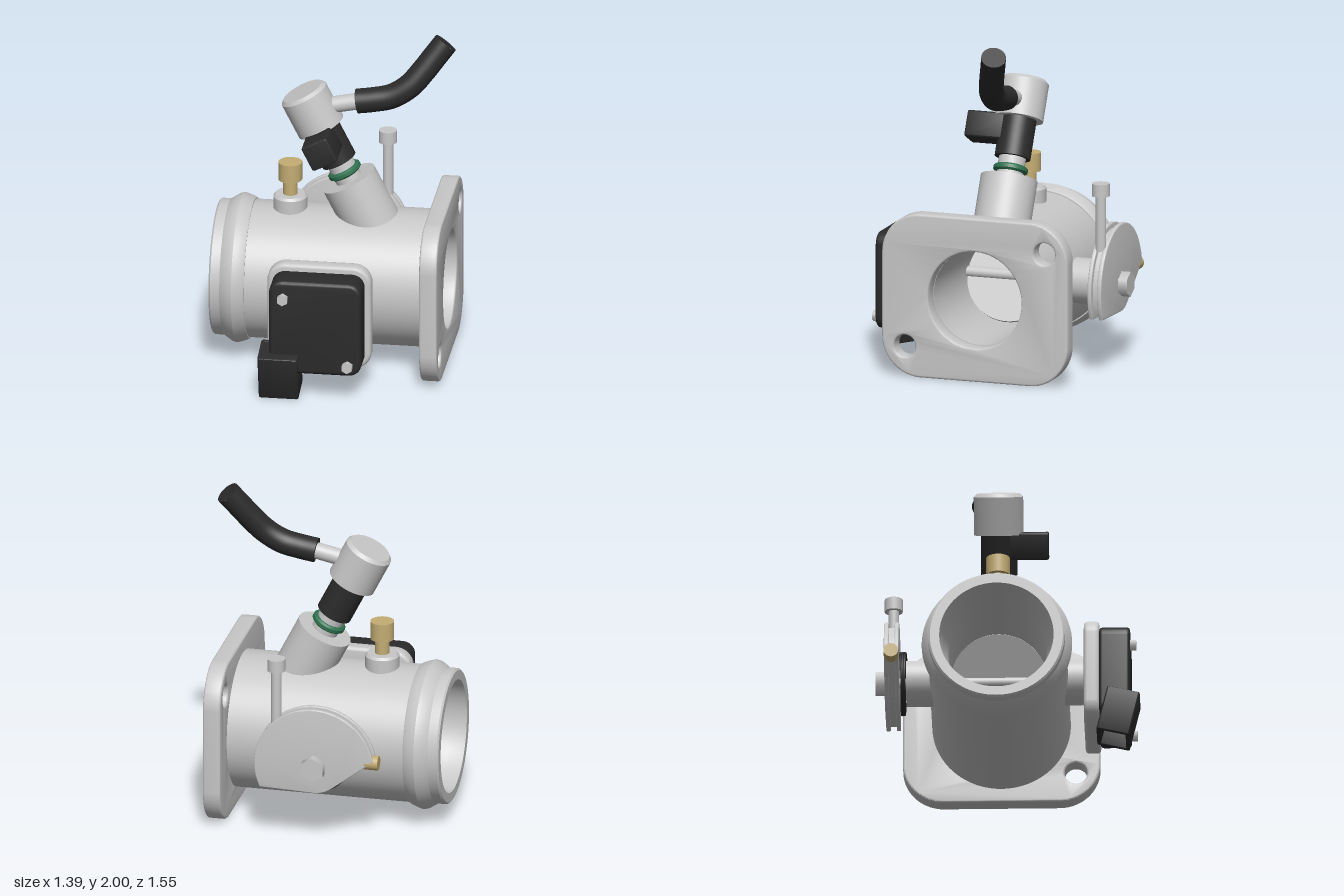
import * as THREE from 'three';
import { toCreasedNormals } from 'three/addons/utils/BufferGeometryUtils.js';

const V2 = (x, y) => new THREE.Vector2(x, y);
const V3 = (x, y, z) => new THREE.Vector3(x, y, z);
const paint = (name, color) => {
  const m = new THREE.MeshStandardMaterial({ color });
  m.name = name;
  return m;
};

const AX_Y = 0.5, AX_Z = -0.052;      // main bore axis
const SHAFT_X = -0.015, SHAFT_Y = 0.505;

function roundedRect(w, h, r) {
  const s = new THREE.Shape(), x = w / 2, y = h / 2;
  s.absarc(x - r, y - r, r, 0, Math.PI / 2);
  s.absarc(-x + r, y - r, r, Math.PI / 2, Math.PI);
  s.absarc(-x + r, -y + r, r, Math.PI, Math.PI * 1.5);
  s.absarc(x - r, -y + r, r, Math.PI * 1.5, Math.PI * 2);
  s.closePath();
  return s;
}

function circleHole(x, y, r) {
  return new THREE.Path().absarc(x, y, r, 0, Math.PI * 2, true);
}

// Extrusion from z = 0 to z = depth with softened edges
function slab(shape, depth, bevel) {
  const g = new THREE.ExtrudeGeometry(shape, {
    depth: depth - 2 * bevel, bevelEnabled: bevel > 0, bevelThickness: bevel,
    bevelSize: bevel, bevelOffset: -bevel, bevelSegments: 3, curveSegments: 24,
  });
  g.translate(0, 0, bevel);
  return toCreasedNormals(g, 0.6);
}

function lathe(points, segments = 64) {
  return toCreasedNormals(new THREE.LatheGeometry(points.map(p => V2(p[0], p[1])), segments), 0.5);
}

export function createModel() {
  const root = new THREE.Group();
  root.name = 'throttleBody';
  const metal = paint('light metal', 0xc8c8c8);
  const black = paint('black plastic', 0x2b2b2b);
  const brass = paint('brass', 0xc4ad74);
  const green = paint('green seal', 0x2f7350);

  const add = (name, geo, mat, pos = [0, 0, 0], rot = [0, 0, 0], parent = root) => {
    const m = new THREE.Mesh(geo, mat);
    m.name = name;
    m.position.set(...pos);
    m.rotation.set(...rot);
    parent.add(m);
    return m;
  };
  // Cylinder along y or z between two coordinates
  const upright = (name, r, y0, y1, x, z, mat, seg = 32, parent = root) =>
    add(name, new THREE.CylinderGeometry(r, r, y1 - y0, seg), mat, [x, (y0 + y1) / 2, z], [0, 0, 0], parent);
  const alongZ = (name, r, z0, z1, x, y, mat, seg = 40) =>
    add(name, new THREE.CylinderGeometry(r, r, z1 - z0, seg), mat, [x, y, (z0 + z1) / 2], [Math.PI / 2, 0, 0]);

  // Hollow main barrel with hose bead on the intake end
  add('barrel', lathe([
    [0.335, -0.7], [0.39, -0.7], [0.4, -0.69], [0.4, -0.635], [0.408, -0.625], [0.434, -0.585],
    [0.441, -0.56], [0.434, -0.535], [0.42, -0.497], [0.413, -0.488], [0.406, -0.488],
    [0.406, 0.57], [0.29, 0.57], [0.29, -0.45], [0.335, -0.6], [0.335, -0.7],
  ], 80), metal, [0, AX_Y, AX_Z], [0, 0, -Math.PI / 2]);

  // Mounting flange with bore and two bolt holes
  const flange = roundedRect(1.155, 0.98, 0.24);
  flange.holes.push(circleHole(0, 0, 0.29), circleHole(0.433, 0.31, 0.066), circleHole(-0.435, -0.306, 0.066));
  add('flange', slab(flange, 0.105, 0.012), metal, [0.57, AX_Y, AX_Z], [0, Math.PI / 2, 0]);

  // Throttle plate and shaft
  add('throttlePlate', new THREE.CylinderGeometry(0.286, 0.286, 0.02, 64), metal,
    [SHAFT_X, SHAFT_Y, AX_Z], [0, 0, Math.PI / 2 + 0.5]);
  alongZ('throttleShaft', 0.033, -0.7, 0.46, SHAFT_X, SHAFT_Y, metal, 24);
  alongZ('frontShaftBoss', 0.135, 0.29, 0.46, SHAFT_X, SHAFT_Y, metal);
  alongZ('rearShaftBoss', 0.135, -0.595, -0.39, SHAFT_X, SHAFT_Y, metal);

  // Position sensor on the front
  add('sensorMount', slab(roundedRect(0.615, 0.645, 0.11), 0.09, 0.02), metal, [-0.018, 0.468, 0.45]);
  add('sensorCover', slab(roundedRect(0.545, 0.58, 0.075), 0.182, 0.02), black, [-0.018, 0.465, 0.538]);
  for (const [x, y] of [[-0.207, 0.65], [0.175, 0.24]]) {
    alongZ('sensorScrew', 0.034, 0.71, 0.755, x, y, metal, 6);
  }

  // Tilted plug socket, open at its lower end
  const socket = new THREE.Group();
  socket.name = 'sensorSocket';
  socket.position.set(-0.233, 0.168, 0.652);
  socket.rotation.x = 0.23;
  root.add(socket);
  const frame = roundedRect(0.235, 0.197, 0.015);
  frame.holes.push(new THREE.Path([V2(-0.095, -0.076), V2(-0.095, 0.076), V2(0.095, 0.076), V2(0.095, -0.076)]));
  add('socketShell', slab(frame, 0.28, 0.005), black, [0, 0.14, 0], [Math.PI / 2, 0, 0], socket);
  add('socketCore', new THREE.BoxGeometry(0.2, 0.13, 0.16), black, [0, 0.073, 0], [0, 0, 0], socket);

  // Cable pulley on the rear, two cheeks around a smaller core
  const pulley = (k) => {
    const s = new THREE.Shape(), R = 0.36 * k, q = Math.PI / 180;
    s.absarc(0, 0, R, -25 * q, 170 * q);
    s.lineTo(-0.11 * k, -0.125 * k);
    s.absarc(0, 0, 0.165 * k, 229 * q, 275 * q);
    s.closePath();
    return s;
  };
  for (const [name, z, d, k] of [['pulleyCheek', -0.72, 0.026, 1], ['pulleyCore', -0.695, 0.04, 0.91],
    ['pulleyCheek', -0.658, 0.024, 1]]) {
    add(name, slab(pulley(k), d, k === 1 ? 0.005 : 0), metal, [SHAFT_X, SHAFT_Y, z]);
  }
  alongZ('pulleyBolt', 0.075, -0.775, -0.715, SHAFT_X, SHAFT_Y, metal, 6);
  add('cableNipple', new THREE.CylinderGeometry(0.043, 0.043, 0.08, 24), brass, [-0.356, 0.55, -0.678],
    [0, 0, Math.PI / 2]);

  // Return spring coiled behind the pulley
  const coil = [];
  for (let i = 0; i <= 60; i++) {
    const a = i / 60 * Math.PI * 5;
    coil.push(V3(SHAFT_X + 0.18 * Math.cos(a), SHAFT_Y + 0.18 * Math.sin(a), -0.597 - 0.032 * i / 60));
  }
  add('returnSpring', new THREE.TubeGeometry(new THREE.CatmullRomCurve3(coil), 180, 0.009, 8), black);

  // Cable rod rising from the pulley
  upright('cableRod', 0.031, 0.75, 1.09, 0.22, -0.675, metal, 24);
  upright('cableRodCap', 0.053, 1.08, 1.155, 0.22, -0.675, metal, 24);

  // Brass plug on a small boss
  add('plugBoss', lathe([[0.1, 0.84], [0.1, 0.975], [0.088, 0.99], [0, 0.99]], 40), metal, [-0.27, 0, AX_Z]);
  upright('plugStem', 0.043, 0.98, 1.09, -0.27, AX_Z, brass);
  upright('plugHead', 0.07, 1.08, 1.19, -0.27, AX_Z, brass);

  // Slanted injector boss, its lower rim slid along the axis into the barrel wall
  const tilt = 0.47, dir = V3(-Math.sin(tilt), Math.cos(tilt), 0), seat = V3(0.075, 1.105, AX_Z);
  const boss = new THREE.CylinderGeometry(0.168, 0.168, 0.3, 48);
  boss.translate(0, -0.15, 0).rotateZ(tilt).translate(seat.x, seat.y, seat.z);
  const p = boss.attributes.position, v = V3(0, 0, 0);
  for (let i = 0; i < p.count; i++) {
    v.fromBufferAttribute(p, i);
    const t = v.clone().sub(seat).dot(dir);
    if (t < -0.2) {
      v.addScaledVector(dir, (0.83 - v.y) / dir.y);
      p.setXYZ(i, v.x, v.y, v.z);
    }
  }
  add('injectorBoss', boss, metal);

  // Injector stack along the slanted axis
  const injector = new THREE.Group();
  injector.name = 'injector';
  injector.position.copy(seat);
  injector.rotation.z = tilt;
  root.add(injector);
  upright('injectorNozzle', 0.08, -0.02, 0.15, 0, 0, metal, 32, injector);
  add('sealRing', lathe([[0, 0.035], [0.09, 0.035], [0.102, 0.045], [0.102, 0.065], [0.09, 0.075], [0, 0.075]], 40),
    green, [0, 0, 0], [0, 0, 0], injector);
  upright('injectorBody', 0.106, 0.125, 0.38, 0, 0, black, 40, injector);
  add('injectorPlug', slab(roundedRect(0.165, 0.16, 0.015), 0.292, 0.008), black, [0, 0.295, 0], [0, 0, 0], injector);
  add('injectorCap', lathe([[0, 0.36], [0.145, 0.36], [0.145, 0.585], [0.125, 0.605], [0, 0.605]], 56),
    metal, [0, 0, 0], [0, 0, 0], injector);

  // Fuel pipe and bent hose
  const pipe = new THREE.LineCurve3(V3(-0.13, 1.545, AX_Z), V3(0.18, 1.61, AX_Z));
  add('fuelPipe', new THREE.TubeGeometry(pipe, 1, 0.049, 32), metal);
  const hosePath = new THREE.CatmullRomCurve3([
    V3(0.125, 1.6, AX_Z), V3(0.22, 1.615, -0.052), V3(0.33, 1.642, -0.056), V3(0.43, 1.705, -0.07),
    V3(0.51, 1.795, -0.1), V3(0.575, 1.88, -0.13), V3(0.635, 1.958, -0.157),
  ]);
  add('fuelHose', new THREE.TubeGeometry(hosePath, 48, 0.073, 32), black);
  for (const u of [0, 1]) {
    const end = add('hoseEnd', new THREE.CircleGeometry(0.073, 32), black, hosePath.getPointAt(u).toArray());
    end.lookAt(end.position.clone().addScaledVector(hosePath.getTangentAt(u), u ? 1 : -1));
  }
  return root;
}
